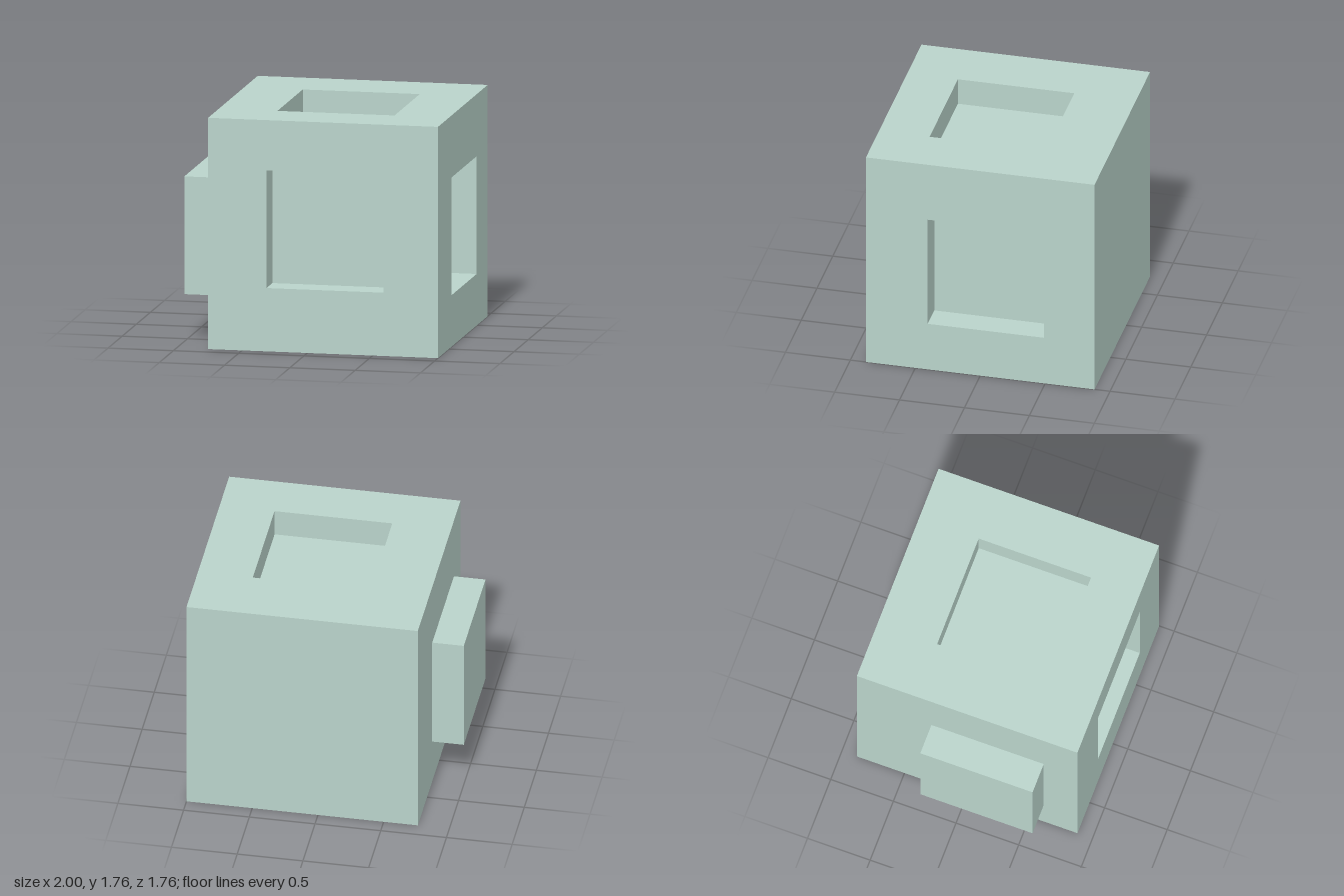
import * as THREE from 'three';

const SIZE = 1.76, HALF = SIZE / 2;   // cube block
const W = 0.896;                      // side of the square pockets and boss
const QUARTER = Math.PI / 2;

const material = new THREE.MeshStandardMaterial({ color: 0xb9d3ca, flatShading: true });

function square(PathType, w, cx = 0, cy = 0) {
  const h = w / 2;
  return new PathType([[-h, -h], [h, -h], [h, h], [-h, h]]
    .map(([x, y]) => new THREE.Vector2(cx + x, cy + y)));
}

// One cube face looking along local +z; depth > 0 sinks a pocket, depth < 0 raises a boss
function makeFace(name, { cx = 0, cy = 0, depth = 0, feature = '' }) {
  const face = new THREE.Group();
  face.name = name;
  const add = (geometry, part) => {
    const mesh = new THREE.Mesh(geometry, material);
    mesh.name = part;
    face.add(mesh);
  };
  const outline = square(THREE.Shape, SIZE);
  if (depth) outline.holes.push(square(THREE.Path, W, cx, cy));
  add(new THREE.ShapeGeometry(outline).translate(0, 0, HALF), name + 'Panel');
  if (!depth) return face;

  // end of the pocket or boss, then its four side walls
  add(new THREE.PlaneGeometry(W, W).translate(cx, cy, HALF - depth), feature + 'End');
  for (let i = 0; i < 4; i++) {
    add(new THREE.PlaneGeometry(W, Math.abs(depth))
      .rotateX(-Math.sign(depth) * QUARTER)
      .translate(0, -W / 2, -depth / 2)
      .rotateZ(i * QUARTER)
      .translate(cx, cy, HALF), feature + 'Wall');
  }
  return face;
}

export function createModel() {
  const model = new THREE.Group();
  model.name = 'connectorBlock';
  const faces = [
    ['frontFace', 0, 0, { cx: 0.015, cy: 0.05, depth: 0.21, feature: 'frontPocket' }],
    ['leftFace', 0, QUARTER, { cx: 0.043, cy: -0.04, depth: 0.21, feature: 'leftPocket' }],
    ['topFace', -QUARTER, 0, { cx: 0.015, cy: -0.043, depth: 0.21, feature: 'topPocket' }],
    ['rightFace', 0, -QUARTER, { cx: 0.163, cy: -0.072, depth: -0.24, feature: 'boss' }],
    ['backFace', 0, Math.PI, {}],
    ['bottomFace', QUARTER, 0, {}],
  ];
  for (const [name, rx, ry, options] of faces) {
    const face = makeFace(name, options);
    face.rotation.set(rx, ry, 0);
    face.position.set(0.12, HALF, 0);
    model.add(face);
  }
  return model;
}
